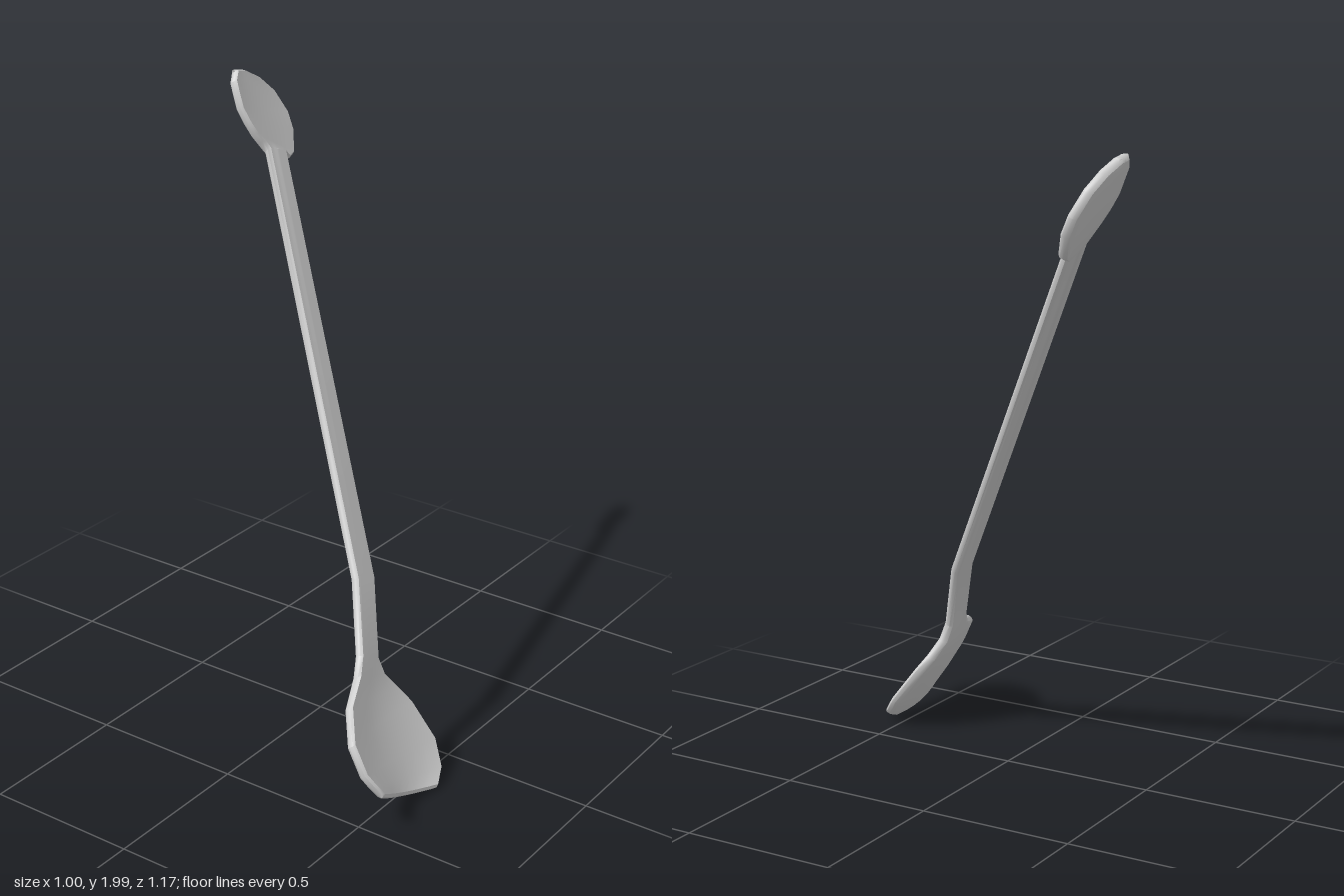
import * as THREE from 'three';
import { toCreasedNormals } from 'three/addons/utils/BufferGeometryUtils.js';

const HALF = 0.015;   // half the sheet thickness
const BEVEL = 0.008;  // width of the rounded rim
const N = 10;         // steps across the sheet

// Cross-sections from blade tip to handle end: [left edge xyz, right edge xyz, sag]
const blade = [
  [-0.475, 0.130, 0.562, -0.180, 0.014, 0.572, 0.034],
  [-0.490, 0.160, 0.540, -0.120, 0.038, 0.545, 0.034],
  [-0.500, 0.190, 0.515, -0.075, 0.100, 0.490, 0.033],
  [-0.485, 0.265, 0.460, -0.085, 0.210, 0.405, 0.028],
  [-0.400, 0.330, 0.390, -0.112, 0.260, 0.370, 0.016],
  [-0.280, 0.365, 0.335, -0.145, 0.315, 0.342, 0.005],
  [-0.235, 0.410, 0.310, -0.155, 0.370, 0.325, 0],
];
const shaft = [
  [-0.144, 0.613, 0.228, -0.060, 0.587, 0.242, 0],
  [0.325, 1.753, -0.447, 0.405, 1.727, -0.433, 0],
];
const paddle = [
  [0.315, 1.780, -0.460, 0.425, 1.704, -0.435, 0.003],
  [0.295, 1.810, -0.475, 0.460, 1.712, -0.445, 0.006],
  [0.285, 1.850, -0.500, 0.493, 1.775, -0.470, 0.009],
  [0.280, 1.890, -0.522, 0.500, 1.830, -0.497, 0.010],
  [0.290, 1.935, -0.545, 0.475, 1.900, -0.532, 0.008],
  [0.300, 1.965, -0.562, 0.430, 1.950, -0.558, 0.005],
  [0.325, 1.990, -0.575, 0.375, 1.980, -0.573, 0.002],
];

// Closed ring of points round one section of the sheet
function ring(left, right, normal, sag, half) {
  const width = left.distanceTo(right);
  const front = [], back = [];
  for (let i = 0; i <= N; i++) {
    const rim = i === 0 || i === N;
    let t = (i - 1) / (N - 2);
    t = rim ? i / N : BEVEL / width + t * (1 - 2 * BEVEL / width);
    const u = 2 * t - 1;
    const h = half * (rim ? 0.4 : 1);
    const mid = left.clone().lerp(right, t).addScaledVector(normal, -sag * (1 - u * u));
    front.push(mid.clone().addScaledVector(normal, h));
    back.unshift(mid.clone().addScaledVector(normal, -h));
  }
  return [...front, ...back];
}

function buildRings(rows) {
  const secs = rows.map(r => ({
    l: new THREE.Vector3(r[0], r[1], r[2]), r: new THREE.Vector3(r[3], r[4], r[5]), sag: r[6],
  }));
  const mid = secs.map(s => s.l.clone().add(s.r).multiplyScalar(0.5));
  const step = i => mid[i + 1].clone().sub(mid[i]).normalize();
  const last = secs.length - 1;
  const rings = [];
  secs.forEach((s, i) => {
    const dir = new THREE.Vector3();
    if (i > 0) dir.add(step(i - 1));
    if (i < last) dir.add(step(i));
    dir.normalize();
    const normal = s.r.clone().sub(s.l).cross(dir).normalize();
    const full = ring(s.l, s.r, normal, s.sag, HALF);
    // Thinner extra ring rounds off each end
    const end = () => ring(s.l.clone().lerp(s.r, 0.02), s.r.clone().lerp(s.l, 0.02), normal, s.sag, HALF * 0.45)
      .map(p => p.addScaledVector(dir, i === 0 ? -BEVEL : BEVEL));
    if (i === 0) rings.push(end());
    rings.push(full);
    if (i === last) rings.push(end());
  });
  return rings;
}

export function createModel() {
  const rings = buildRings([...blade, ...shaft, ...paddle]);
  const pos = [];
  const quad = (a, b, c, d) => [a, b, c, a, c, d].forEach(p => pos.push(p.x, p.y, p.z));
  const count = 2 * N + 2;

  // Blade end cap
  const cap = (r, flip) => {
    for (let i = 0; i < N; i++) {
      const [a, b, c, d] = [r[i], r[i + 1], r[count - 2 - i], r[count - 1 - i]];
      if (flip) quad(a, d, c, b); else quad(a, b, c, d);
    }
  };
  cap(rings[0], true);

  // Skin between rings, noting where each part ends
  const cuts = [0];
  for (let s = 0; s < rings.length - 1; s++) {
    if (s === blade.length || s === blade.length + shaft.length) cuts.push(pos.length);
    for (let i = 0; i < count; i++) {
      const j = (i + 1) % count;
      quad(rings[s][i], rings[s][j], rings[s + 1][j], rings[s + 1][i]);
    }
  }
  cap(rings[rings.length - 1], false);
  cuts.push(pos.length);

  let whole = new THREE.BufferGeometry();
  whole.setAttribute('position', new THREE.Float32BufferAttribute(pos, 3));
  whole = toCreasedNormals(whole, 0.75);

  // Split into named parts with matching normals at the joins
  const group = new THREE.Group();
  group.name = 'spatula';
  const material = new THREE.MeshStandardMaterial({ color: 0xcccccc });
  ['blade', 'handle', 'handleEnd'].forEach((name, k) => {
    const geo = new THREE.BufferGeometry();
    for (const key of ['position', 'normal']) {
      const part = whole.attributes[key].array.slice(cuts[k], cuts[k + 1]);
      geo.setAttribute(key, new THREE.BufferAttribute(part, 3));
    }
    const mesh = new THREE.Mesh(geo, material);
    mesh.name = name;
    group.add(mesh);
  });
  return group;
}
